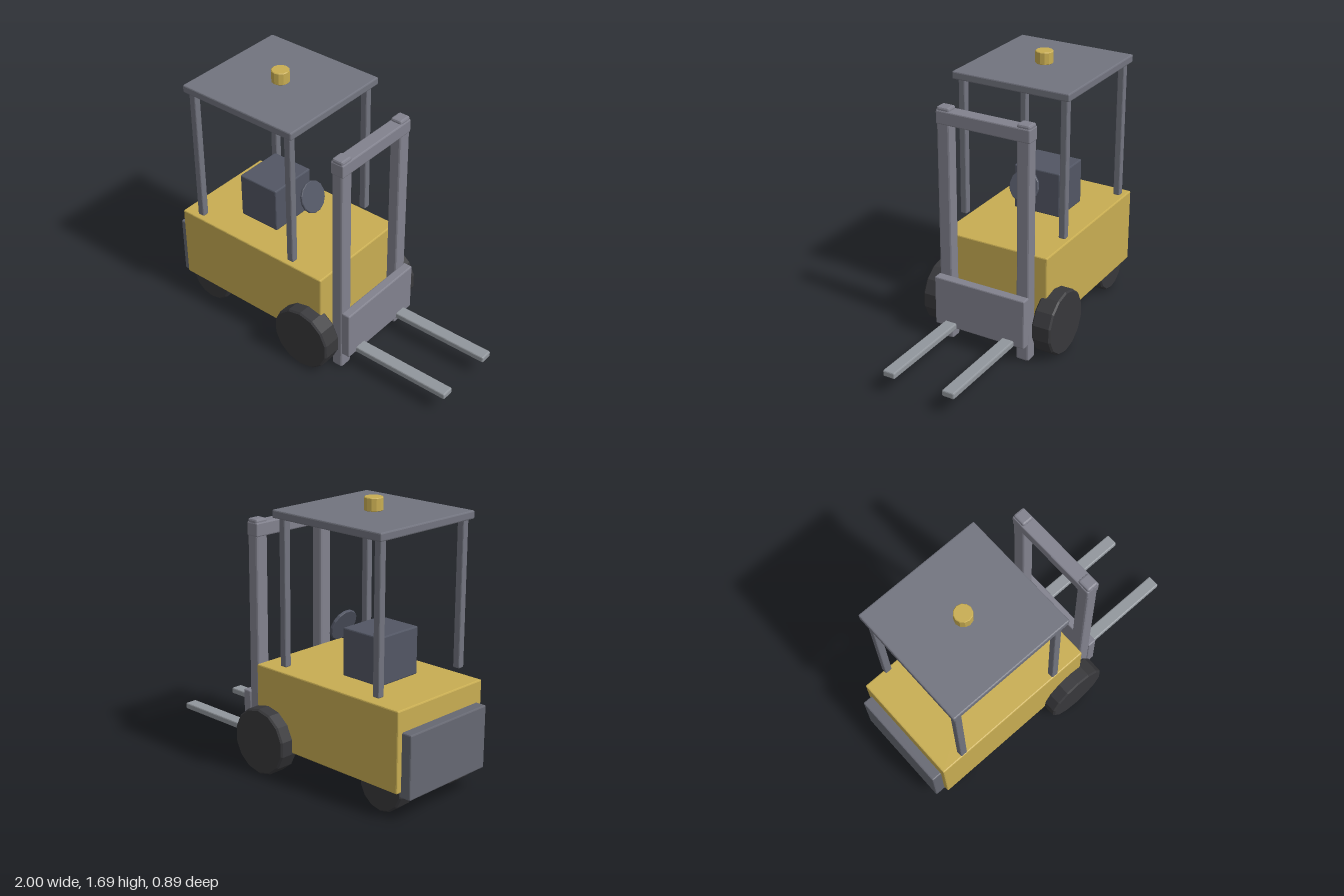
import * as THREE from 'three';
import { RoundedBoxGeometry } from 'three/addons/geometries/RoundedBoxGeometry.js';

const mat = (color) => new THREE.MeshStandardMaterial({ color, flatShading: true });

export function createModel() {
  const model = new THREE.Group();
  model.name = 'forklift';
  const yellow = mat(0xc8ad52), steel = mat(0x82828e), roofGrey = mat(0x72747f);
  const ballast = mat(0x666872), seatGrey = mat(0x525664), rubber = mat(0x38383b), forkGrey = mat(0x91969c);

  function add(name, geometry, material, x, y, z) {
    const mesh = new THREE.Mesh(geometry, material);
    mesh.name = name;
    mesh.position.set(x, y, z);
    model.add(mesh);
    return mesh;
  }

  // Chamfered box given by its extents on each axis
  function box(name, material, [x0, x1], [y0, y1], [z0, z1], bevel = 0.008) {
    const geometry = new RoundedBoxGeometry(x1 - x0, y1 - y0, z1 - z0, 1, bevel);
    return add(name, geometry, material, (x0 + x1) / 2, (y0 + y1) / 2, (z0 + z1) / 2);
  }

  // Chamfered disc with its axis along y
  function disc(radius, width, sides, bevel) {
    const h = width / 2;
    const profile = [[0, -h], [radius - bevel, -h], [radius, bevel - h], [radius, h - bevel], [radius - bevel, h], [0, h]];
    return new THREE.LatheGeometry(profile.map(([r, y]) => new THREE.Vector2(r, y)), sides);
  }

  // Chassis
  box('body', yellow, [-0.935, 0.175], [0.165, 0.65], [-0.36, 0.36]);
  box('counterweight', ballast, [-1, -0.92], [0.135, 0.52], [-0.325, 0.325]);

  // Driver's place
  box('seat', seatGrey, [-0.62, -0.335], [0.655, 0.945], [-0.16, 0.16]);
  const steering = add('steeringWheel', disc(0.1, 0.02, 14, 0.004), seatGrey, -0.182, 0.893, 0);
  steering.rotation.z = -1.2;

  // Overhead guard
  box('roof', roofGrey, [-0.82, 0], [1.563, 1.612], [-0.39, 0.39]);
  add('beacon', disc(0.055, 0.078, 12, 0.004), yellow, -0.412, 1.65, 0);

  // Lifting gear
  box('mastCrossbar', steel, [0.212, 0.3], [1.4, 1.485], [-0.31, 0.31]);
  box('carriage', steel, [0.292, 0.352], [0.115, 0.435], [-0.31, 0.31]);

  // Parts mirrored left and right
  for (const side of [-1, 1]) {
    const span = (a, b) => (side > 0 ? [a, b] : [-b, -a]);
    for (const x of [-0.775, -0.053])
      box('roofPost', roofGrey, [x - 0.023, x + 0.023], [0.688, 1.57], span(0.321, 0.365), 0.007);
    box('mastRail', steel, [0.218, 0.295], [0, 1.505], span(0.222, 0.308), 0.012);
    box('fork', forkGrey, [0.335, 1], [0.112, 0.152], span(0.16, 0.24));

    // Wheels, axles along z
    const front = add('frontWheel', disc(0.205, 0.125, 14, 0.01), rubber, 0.082, 0.205, side * 0.382);
    const rear = add('rearWheel', disc(0.155, 0.12, 14, 0.01), rubber, -0.775, 0.155, side * 0.26);
    front.rotation.x = rear.rotation.x = Math.PI / 2;
  }
  return model;
}
